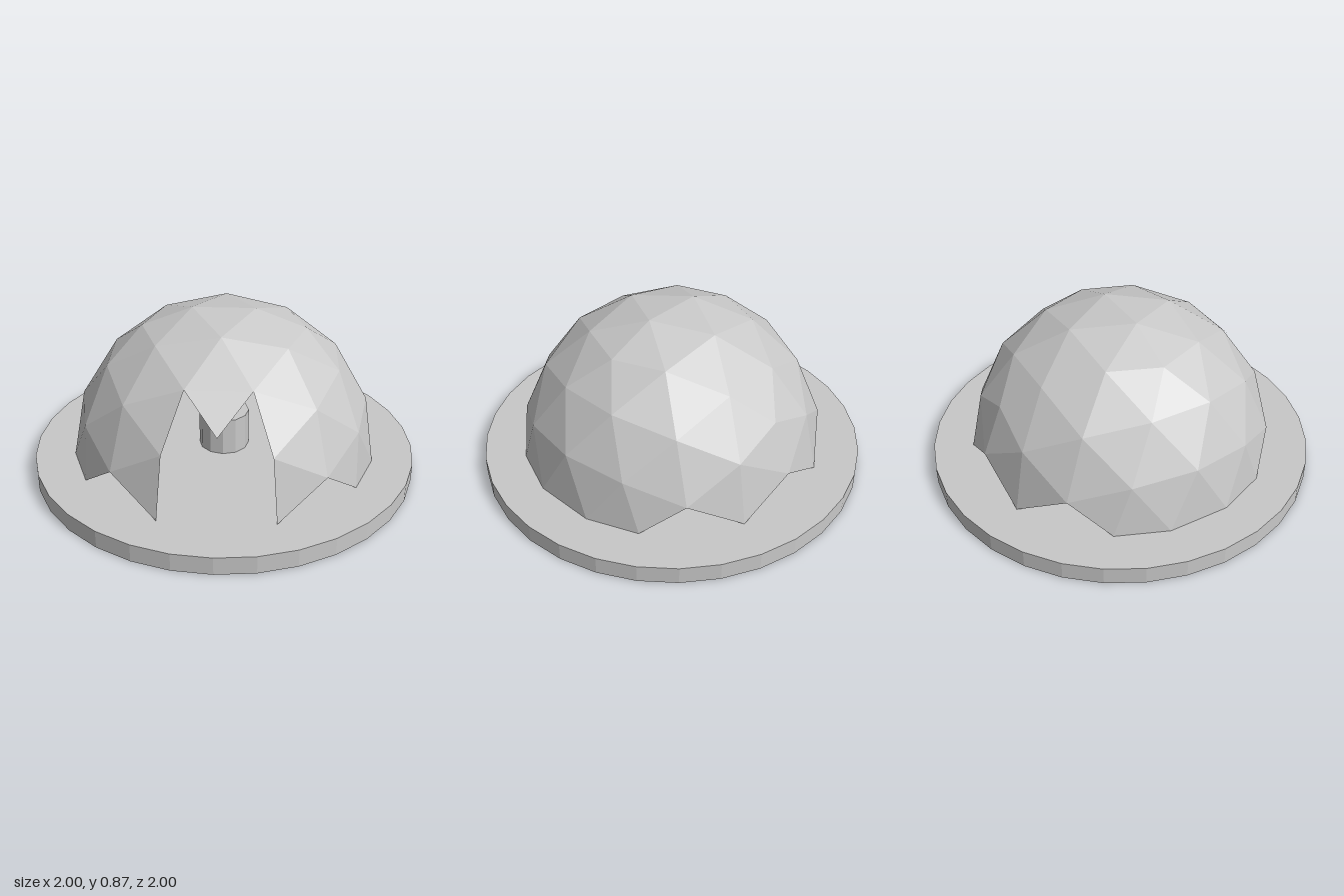
import * as THREE from 'three';

const BASE_HEIGHT = 0.093;
const DOME_RADIUS = 0.793;

// Upper half of a geodesic sphere: only whole triangles above the equator, minus a doorway.
function domeGeometry() {
  const sphere = new THREE.IcosahedronGeometry(DOME_RADIUS, 2).getAttribute('position');
  const kept = [];
  for (let i = 0; i < sphere.count; i += 3) {
    const corners = [0, 1, 2].map(k => new THREE.Vector3().fromBufferAttribute(sphere, i + k));
    if (corners.some(c => c.y < -0.001)) continue;
    const mid = new THREE.Vector3();
    corners.forEach(c => mid.addScaledVector(c, 1 / 3));
    const inDoorway = mid.z > 0.3 && Math.abs(mid.x) < 0.22 && mid.y < 0.48;
    if (inDoorway) continue;
    corners.forEach(c => kept.push(c.x, c.y, c.z));
  }
  const geometry = new THREE.BufferGeometry();
  geometry.setAttribute('position', new THREE.Float32BufferAttribute(kept, 3));
  geometry.computeVertexNormals();
  return geometry;
}

export function createModel() {
  const group = new THREE.Group();
  group.name = 'geodesicDome';
  const grey = new THREE.MeshStandardMaterial({ color: 0xc8c8c8, flatShading: true, side: THREE.DoubleSide });
  grey.name = 'light grey';

  const add = (name, geometry, y) => {
    const mesh = new THREE.Mesh(geometry, grey);
    mesh.name = name;
    mesh.position.y = y;
    group.add(mesh);
  };

  // Round base slab
  add('base', new THREE.CylinderGeometry(1, 1, BASE_HEIGHT, 32), BASE_HEIGHT / 2);
  // Thin faceted shell with a doorway at the front
  add('domeShell', domeGeometry(), BASE_HEIGHT);
  // Short pedestal inside the dome
  const pedestalHeight = 0.197;
  add('pedestal', new THREE.CylinderGeometry(0.131, 0.131, pedestalHeight, 12), BASE_HEIGHT + pedestalHeight / 2);

  return group;
}
